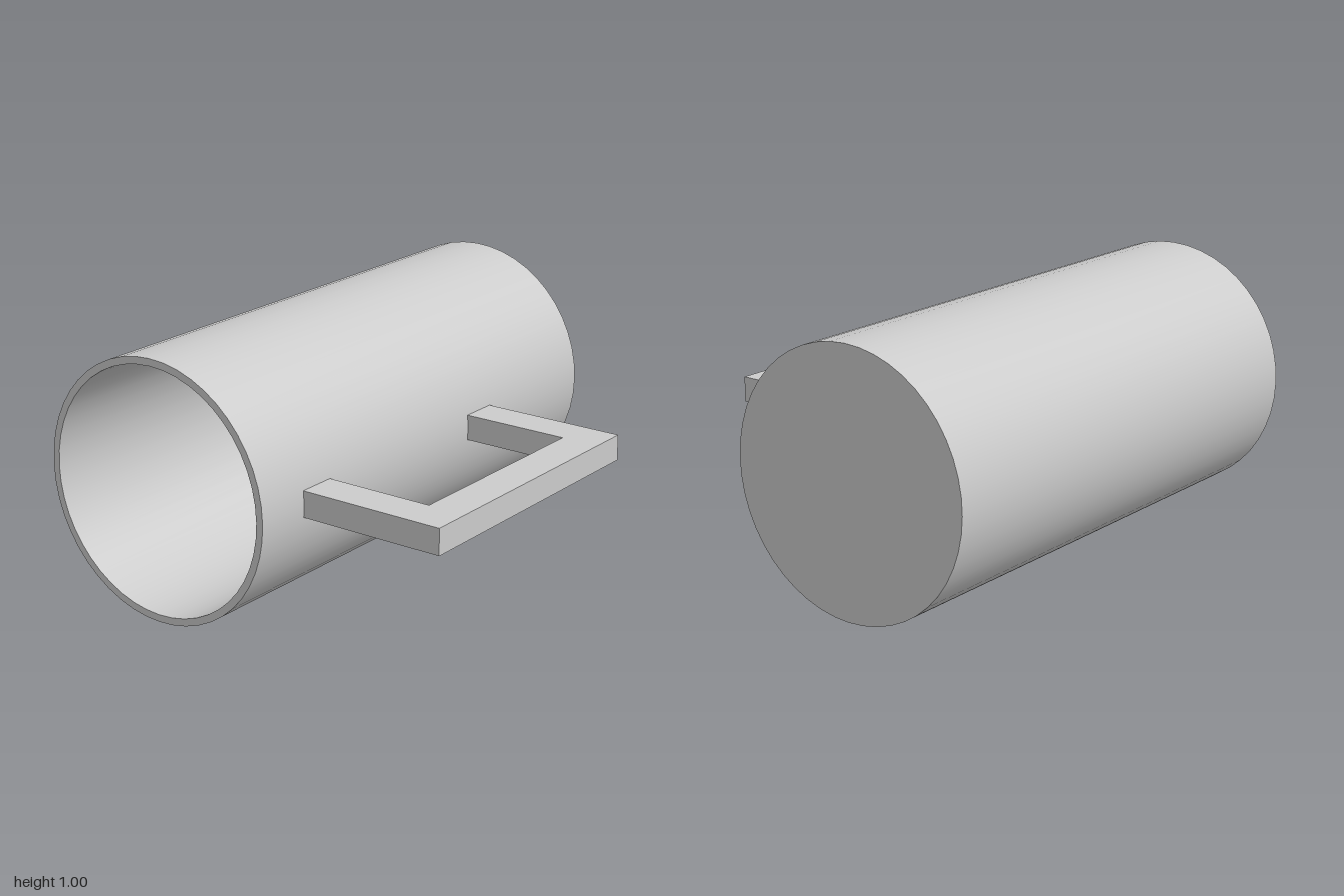
import * as THREE from 'three';
import { mergeGeometries } from 'three/addons/utils/BufferGeometryUtils.js';

export function createModel() {
  const model = new THREE.Group();
  model.name = 'mug';
  const material = new THREE.MeshStandardMaterial({ color: 0xcccccc });

  // Cup lying on its side: closed at the back, open at the front.
  // Each profile segment is lathed on its own so the rims stay sharp.
  const outer = 0.498, inner = 0.47, floor = -0.97;
  const profile = [[0, -1], [outer, -1], [outer, 1], [inner, 1], [inner, floor], [0, floor]]
    .map(([r, y]) => new THREE.Vector2(r, y));
  const bands = profile.slice(1).map((p, i) => new THREE.LatheGeometry([profile[i], p], 48));
  const cup = new THREE.Mesh(mergeGeometries(bands), material);
  cup.name = 'cup';
  cup.rotation.x = Math.PI / 2;
  cup.position.set(-0.288, 0.5, 0);
  model.add(cup);

  // Square handle: a U outline in x and -z, extruded upwards
  const outline = [
    [0.19, -0.775], [0.786, -0.775], [0.786, 0.378], [0.19, 0.378],
    [0.19, 0.228], [0.636, 0.228], [0.636, -0.625], [0.19, -0.625],
  ].map(([x, y]) => new THREE.Vector2(x, y));
  const handle = new THREE.Mesh(
    new THREE.ExtrudeGeometry(new THREE.Shape(outline), { depth: 0.1, bevelEnabled: false }),
    material
  );
  handle.name = 'handle';
  handle.rotation.x = -Math.PI / 2;
  handle.position.y = 0.453;
  model.add(handle);

  return model;
}
